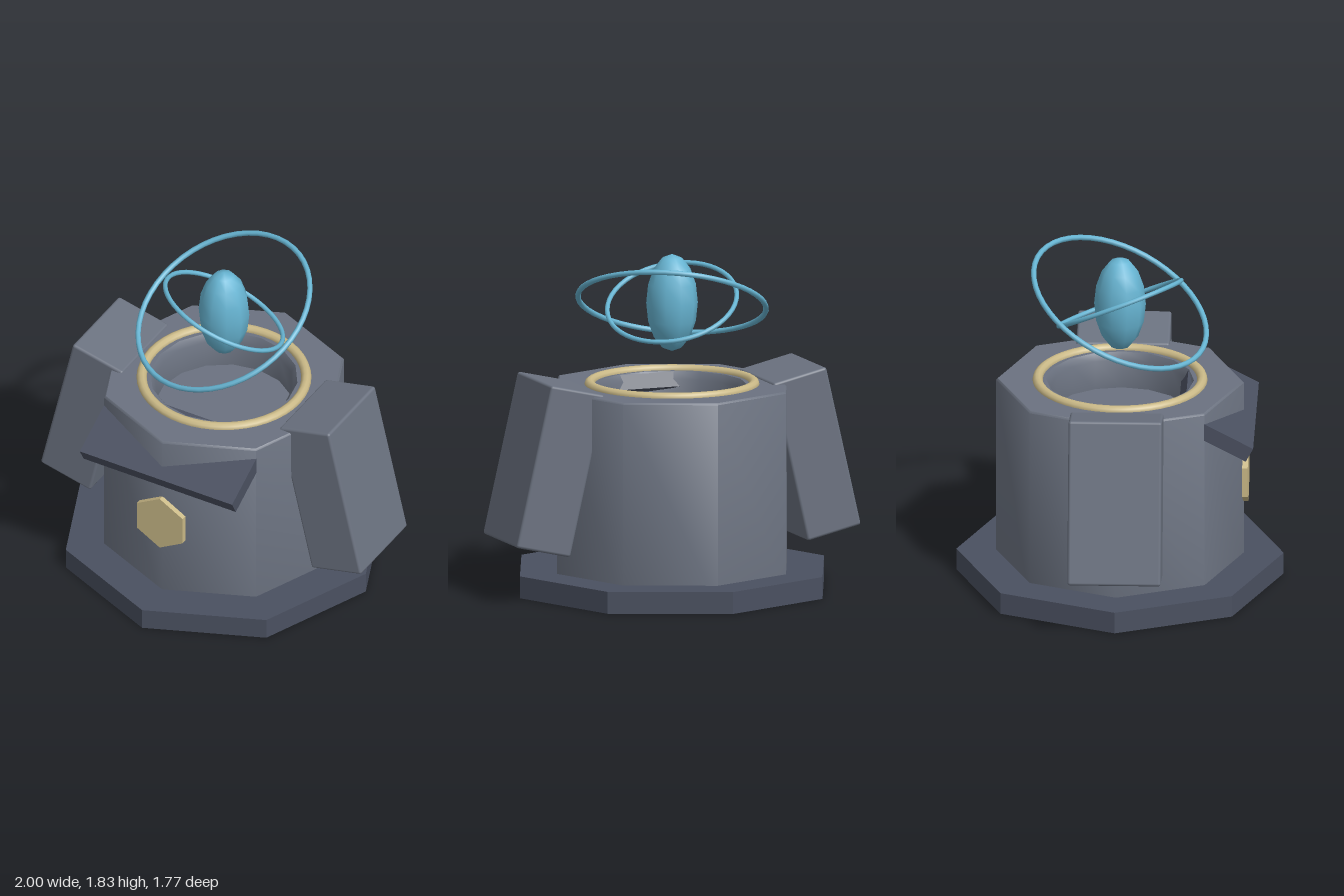
import * as THREE from 'three';
import { toCreasedNormals } from 'three/addons/utils/BufferGeometryUtils.js';
import { RoundedBoxGeometry } from 'three/addons/geometries/RoundedBoxGeometry.js';

const material = (name, color, extra = {}) => {
  const m = new THREE.MeshStandardMaterial({ color, ...extra });
  m.name = name;
  return m;
};

export function createModel() {
  const model = new THREE.Group();
  model.name = 'guardianPedestal';
  const stone = material('stone grey', 0x6b7280);
  const darkStone = material('dark slate', 0x4a5060);
  const gold = material('pale gold', 0xcab987);
  const crystalBlue = material('crystal blue', 0x67b5d3);

  const add = (name, geometry, mat, x = 0, y = 0, z = 0) => {
    const mesh = new THREE.Mesh(geometry, mat);
    mesh.name = name;
    mesh.position.set(x, y, z);
    model.add(mesh);
    return mesh;
  };
  const lathe = (points, sides) => toCreasedNormals(
    new THREE.LatheGeometry(points.map(([r, y]) => new THREE.Vector2(r, y)), sides), 0.9);

  // Octagonal plinth
  add('base', toCreasedNormals(new THREE.CylinderGeometry(0.885, 0.885, 0.12, 8), 0.3), darkStone, 0, 0.06, 0);

  // Octagonal body wall with a narrow bevel at the top
  add('bodyWall', lathe([[0.67, 0.01], [0.67, 1.11], [0.66, 1.12]], 8), stone);

  // Flat top with a round opening
  const top = new THREE.Shape();
  for (let i = 0; i < 8; i++) {
    const a = i * Math.PI / 4;
    top[i ? 'lineTo' : 'moveTo'](0.66 * Math.cos(a), 0.66 * Math.sin(a));
  }
  const opening = new THREE.Path();
  for (let i = 0; i < 16; i++) {
    const a = i * Math.PI / 8;
    opening[i ? 'lineTo' : 'moveTo'](0.4 * Math.cos(a), 0.4 * Math.sin(a));
  }
  top.holes.push(opening);
  add('bodyTop', new THREE.ShapeGeometry(top).rotateX(-Math.PI / 2), stone, 0, 1.12, 0);

  // Sunken well: chamfered rim, wall and floor
  add('well', lathe([[0.4, 1.12], [0.375, 1.08], [0.375, 0.92], [0, 0.92]], 16), stone);

  // Gold rim around the well
  add('rimRing', new THREE.TorusGeometry(0.445, 0.028, 10, 48).rotateX(Math.PI / 2), gold, 0, 1.12, 0);

  // Sloping brow plate
  const brow = add('browPlate', new THREE.BoxGeometry(0.95, 0.085, 0.42), darkStone, 0, 0.98, 0.53);
  brow.rotation.x = 0.49;

  // Hexagonal chest plate, point upward
  const hexagon = new THREE.CylinderGeometry(0.165, 0.165, 0.03, 6).rotateX(Math.PI / 2);
  add('chestEmblem', toCreasedNormals(hexagon, 0.3), gold, 0, 0.585, 0.68);

  // Slanted shoulder blocks
  for (const side of [-1, 1]) {
    const arm = add(side > 0 ? 'leftArm' : 'rightArm',
      new RoundedBoxGeometry(0.32, 0.9, 0.505, 2, 0.015), stone, side * 0.745, 0.725, 0);
    arm.rotation.z = side * 0.227;
  }

  // Floating crystal
  const crystal = new THREE.SphereGeometry(0.14, 10, 8).rotateY(Math.PI / 2).scale(1, 1.9, 1);
  add('crystal', crystal, crystalBlue, 0, 1.565, 0);

  // Tilted rings around the crystal
  const orbit = (name, radius, tube, normal) => {
    const ring = add(name, new THREE.TorusGeometry(radius, tube, 8, 48), crystalBlue, 0, 1.566, 0);
    ring.quaternion.setFromUnitVectors(new THREE.Vector3(0, 0, 1), new THREE.Vector3(...normal).normalize());
  };
  orbit('outerOrbit', 0.51, 0.015, [-0.24, 0.88, 0.41]);
  orbit('innerOrbit', 0.354, 0.013, [0.3, 0.885, -0.36]);

  return model;
}
